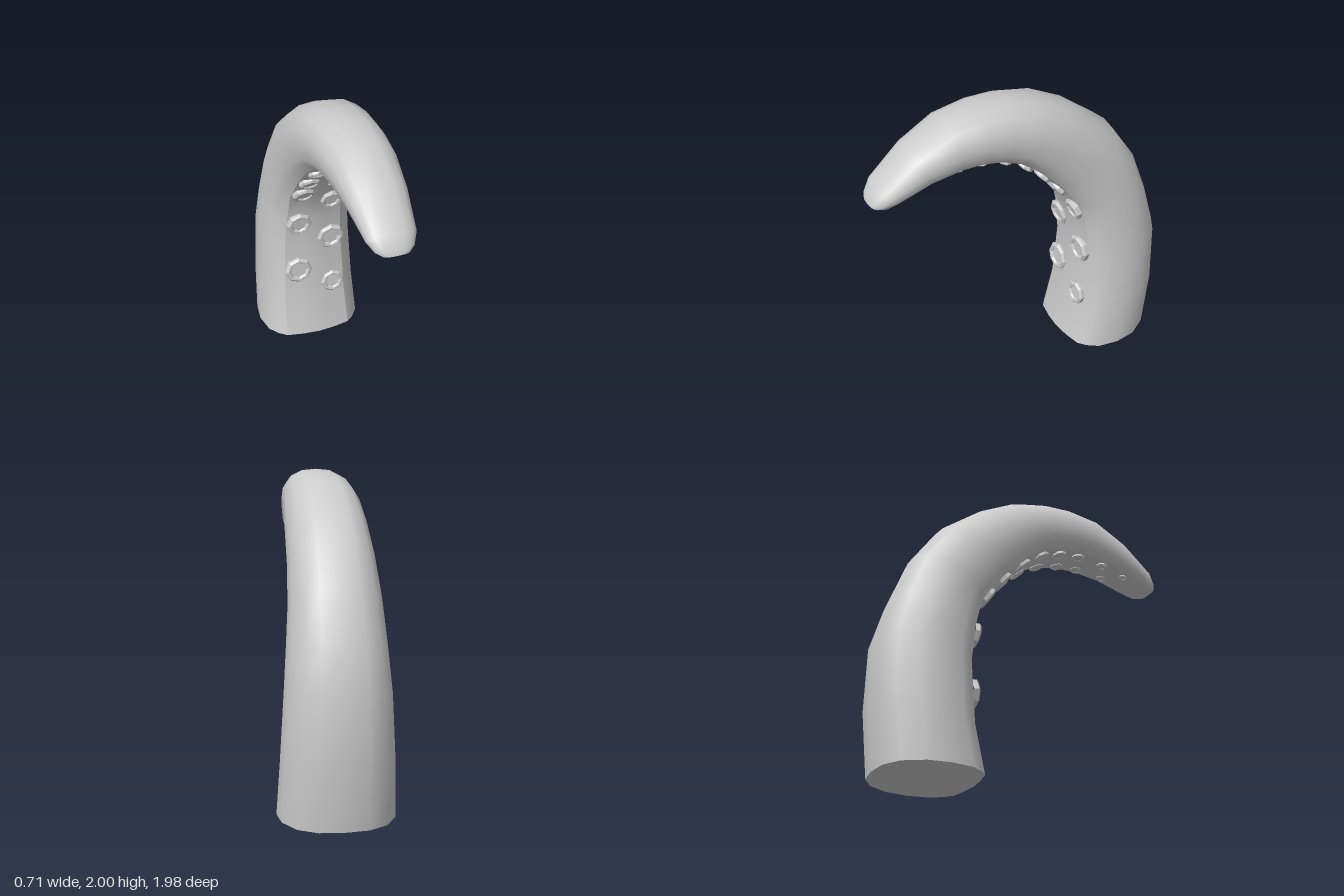
import * as THREE from 'three';

// Sections along the arm: outer z, outer y, inner z, inner y, half width
const SECTIONS = [
  [-0.94, 0, -0.31, 0, 0.355],
  [-0.985, 0.4, -0.375, 0.3, 0.338],
  [-0.98, 0.8, -0.40, 0.7, 0.315],
  [-0.90, 1.08, -0.375, 0.94, 0.295],
  [-0.79, 1.37, -0.33, 1.14, 0.275],
  [-0.62, 1.62, -0.18, 1.34, 0.26],
  [-0.36, 1.82, -0.05, 1.48, 0.25],
  [-0.13, 1.94, 0.08, 1.585, 0.24],
  [0.08, 1.99, 0.20, 1.635, 0.225],
  [0.27, 2.0, 0.33, 1.66, 0.215],
  [0.50, 1.97, 0.46, 1.66, 0.20],
  [0.73, 1.85, 0.64, 1.635, 0.178],
  [0.94, 1.67, 0.84, 1.575, 0.148],
  [0.985, 1.6, 0.90, 1.55, 0.115],
  [0.995, 1.565, 0.94, 1.55, 0.08],
];

// Half cross-section: [fraction of half width, depth from outer (0) to inner (1)]
const HALF = [[0.64, 0.95], [0.79, 0.88], [0.93, 0.77], [1, 0.55], [0.95, 0.33], [0.74, 0.13], [0.42, 0.025]];
const mirror = ([s, u]) => [-s, u];
const BACK = [...HALF, [0, 0], ...HALF.map(mirror).reverse()];
const FACE = [[-0.64, 0.95], [-0.32, 0.985], [0, 1], [0.32, 0.985], [0.64, 0.95]];

// Suckers: position along the sections, side, radius
const SUCKERS = [
  [1.18, 1, 0.082], [2.2, 1, 0.096], [3.7, 1, 0.076], [4.7, 1, 0.058], [5.55, 1, 0.06], [6.45, 1, 0.055],
  [1.55, -1, 0.096], [2.87, -1, 0.086], [4.25, -1, 0.078], [5.0, -1, 0.072], [6.1, -1, 0.06],
  [7.2, -1, 0.052], [7.6, 1, 0.05], [8.3, -1, 0.048], [8.8, 1, 0.046], [9.4, -1, 0.044],
  [9.9, 1, 0.042], [10.6, -1, 0.038], [11.0, 1, 0.034], [11.5, -1, 0.028],
];

const lerp = THREE.MathUtils.lerp;

// Point on a section at width fraction s and depth u
function place([oz, oy, iz, iy, w], [s, u]) {
  return new THREE.Vector3(s * w, lerp(oy, iy, u), lerp(oz, iz, u));
}

// Section interpolated at a fractional index
function sectionAt(f) {
  const i = Math.min(Math.floor(f), SECTIONS.length - 2);
  return SECTIONS[i].map((v, k) => lerp(v, SECTIONS[i + 1][k], f - i));
}

function geometry(points, index) {
  const g = new THREE.BufferGeometry().setFromPoints(points);
  g.setIndex(index);
  g.computeVertexNormals();
  return g;
}

// Skin swept along all sections
function skin(profile) {
  const n = profile.length;
  const points = SECTIONS.flatMap((sec) => profile.map((p) => place(sec, p)));
  const index = [];
  for (let j = 0; j < SECTIONS.length - 1; j++) {
    for (let i = 0; i < n - 1; i++) {
      const a = j * n + i, b = a + 1, c = b + n, d = a + n;
      index.push(a, b, c, a, c, d);
    }
  }
  return geometry(points, index);
}

// Fan closing one end
function cap(section, up) {
  const ring = [...BACK, ...FACE.slice(1, -1)].map((p) => place(section, p));
  const n = ring.length;
  const index = [];
  for (let i = 0; i < n; i++) {
    const k = (i + 1) % n;
    index.push(n, up ? i : k, up ? k : i);
  }
  return geometry([...ring, place(section, [0, 0.5])], index);
}

export function createModel() {
  const group = new THREE.Group();
  const smooth = new THREE.MeshStandardMaterial({ color: 0xcccccc });
  const faceted = new THREE.MeshStandardMaterial({ color: 0xcccccc, flatShading: true });
  const add = (name, geo, mat = smooth) => {
    const mesh = new THREE.Mesh(geo, mat);
    mesh.name = name;
    group.add(mesh);
    return mesh;
  };

  // Arm: rounded back, flatter inner face, closed ends
  add('tentacleBack', skin(BACK));
  add('tentacleInnerFace', skin(FACE));
  add('baseCap', cap(SECTIONS[0], false));
  add('tipCap', cap(SECTIONS[SECTIONS.length - 1], true));

  // Octagonal cups with a raised rim and a sunken floor
  const cup = new THREE.LatheGeometry(
    [[0.95, -0.15], [1, 0.18], [0.84, 0.34], [0.68, 0.32], [0.58, 0.18], [0, 0.18]]
      .map(([x, y]) => new THREE.Vector2(x, y)), 8);
  const yAxis = new THREE.Vector3(0, 1, 0);
  for (const [f, side, r] of SUCKERS) {
    const spot = [side * 0.37, 0.98];
    const along = place(sectionAt(f + 0.4), spot).sub(place(sectionAt(f - 0.4), spot));
    const normal = new THREE.Vector3(1, 0, 0).cross(along).normalize();
    const sucker = add('sucker', cup, faceted);
    sucker.position.copy(place(sectionAt(f), spot));
    sucker.quaternion.setFromUnitVectors(yAxis, normal);
    sucker.scale.setScalar(r);
  }
  return group;
}
